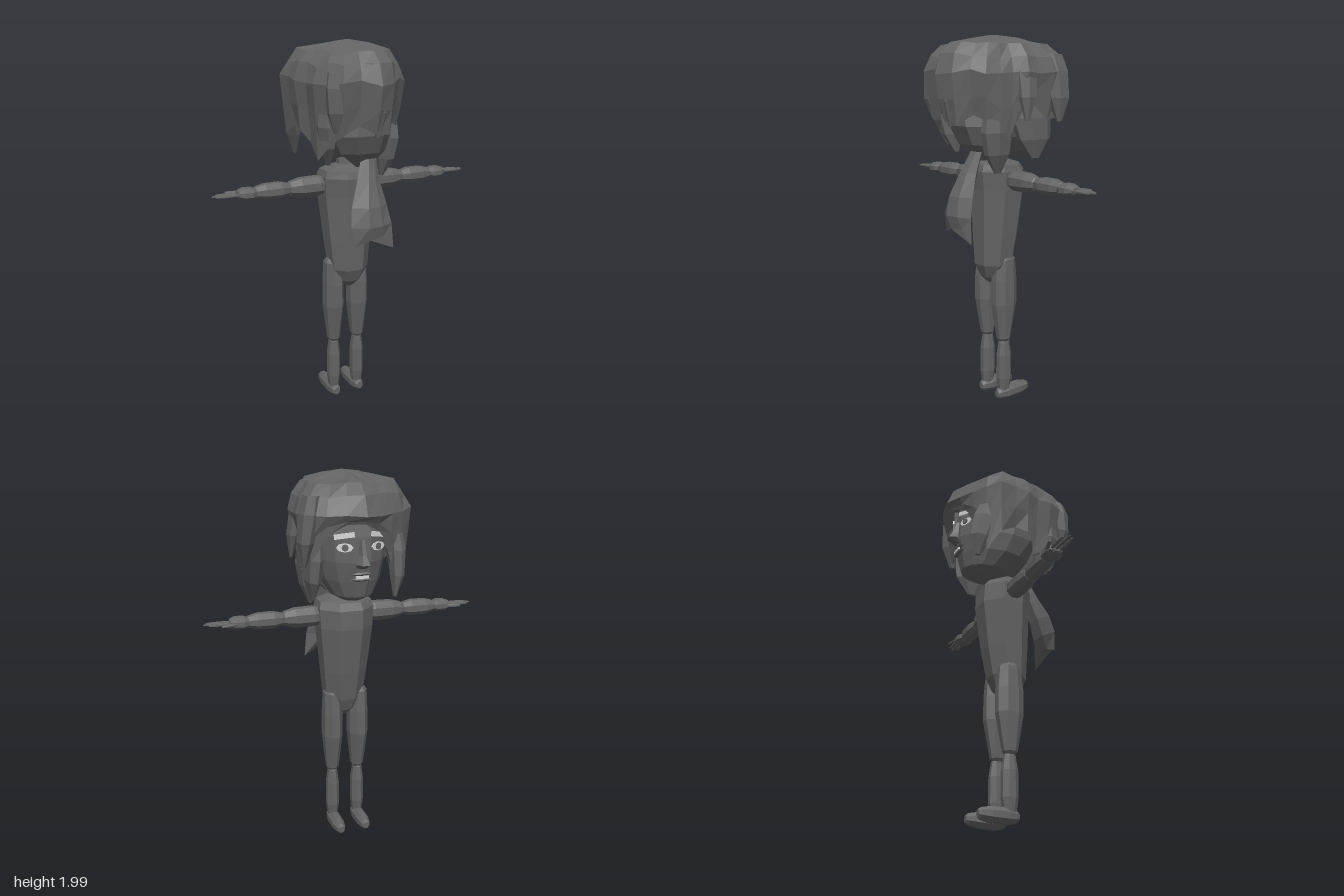
import * as THREE from 'three';

const charcoal = new THREE.MeshStandardMaterial({ color: 0x646464, flatShading: true, side: THREE.DoubleSide });
charcoal.name = 'charcoal';
const paleGrey = new THREE.MeshStandardMaterial({ color: 0xd8d8d8, flatShading: true, side: THREE.DoubleSide });
paleGrey.name = 'paleGrey';

// Skin a list of equal-length rings of [x, y, z] points, with optional end caps
function skin(rings, capStart = true, capEnd = true) {
  const n = rings[0].length, pos = rings.flat(2), idx = [];
  for (let r = 0; r < rings.length - 1; r++)
    for (let i = 0; i < n; i++) {
      const a = r * n + i, b = r * n + (i + 1) % n;
      idx.push(a, b, b + n, a, b + n, a + n);
    }
  const cap = (s, flip) => {
    for (let i = 1; i < n - 1; i++) flip ? idx.push(s, s + i + 1, s + i) : idx.push(s, s + i, s + i + 1);
  };
  if (capStart) cap(0, true);
  if (capEnd) cap((rings.length - 1) * n, false);
  const g = new THREE.BufferGeometry();
  g.setAttribute('position', new THREE.Float32BufferAttribute(pos, 3));
  g.setIndex(idx);
  g.computeVertexNormals();
  return g;
}

// Stack of horizontal ellipses [x, y, z, rx, rz], listed from bottom to top
function stack(sections, sides = 8) {
  return skin(sections.map(([x, y, z, rx, rz]) => Array.from({ length: sides }, (_, i) => {
    const a = ((i + 0.5) / sides) * Math.PI * 2;
    return [x + Math.sin(a) * rx, y, z + Math.cos(a) * rz];
  })));
}

// Lock of hair from a narrow tip to a wide root, bowed outward in the middle
function lockGeometry([tx, ty, tz], [rx, ry, rz], w, d) {
  return stack([[0, 0.2], [0.35, 0.8], [0.75, 1], [1, 0.85]].map(([t, k]) => {
    const bow = 1 + 0.16 * t * (1 - t);
    return [(tx + (rx - tx) * t) * bow, ty + (ry - ty) * t, (tz + (rz - tz) * t) * bow, w * k, d * k];
  }), 7);
}

function add(group, name, geometry, material = charcoal) {
  const m = new THREE.Mesh(geometry, material);
  m.name = name;
  group.add(m);
  return m;
}

// Faceted limb segment between two points; w is the radius across, d the other radius
function segment(group, name, from, to, w, d, sides = 8) {
  const a = new THREE.Vector3(...from), b = new THREE.Vector3(...to), len = a.distanceTo(b);
  const shape = [[0, 0], [0.5, 0], [0.75, 0.06], [1, 0.28], [0.97, 0.7], [0.7, 0.94], [0.45, 1], [0, 1]];
  const g = new THREE.LatheGeometry(shape.map(([r, t]) => new THREE.Vector2(r, t * len)), sides);
  g.rotateY(Math.PI / sides);
  g.scale(w, 1, d);
  const m = add(group, name, g);
  m.position.copy(a);
  m.quaternion.setFromUnitVectors(new THREE.Vector3(0, 1, 0), b.sub(a).normalize());
}

function createModel() {
  const model = new THREE.Group();
  model.name = 'figure';

  // Torso and neck
  add(model, 'torso', stack([
    [0, 0.68, 0, 0.02, 0.03], [0, 0.72, 0, 0.07, 0.075], [0, 0.79, 0, 0.11, 0.105], [0, 0.95, -0.012, 0.128, 0.125],
    [0, 1.2, -0.025, 0.154, 0.147], [0, 1.3, -0.018, 0.16, 0.15], [0, 1.337, -0.01, 0.148, 0.13], [0, 1.36, -0.02, 0.05, 0.05]]));
  add(model, 'neck', stack([[0, 1.33, -0.03, 0.045, 0.045], [0, 1.45, -0.05, 0.045, 0.05]]));

  // Arms and hands
  for (const [side, s] of [['left', 1], ['right', -1]]) {
    const arm = new THREE.Group();
    arm.name = side + 'Arm';
    model.add(arm);
    segment(arm, 'upperArm', [s * 0.1, 1.257, -0.02], [s * 0.34, 1.255, -0.02], 0.055, 0.055);
    segment(arm, 'forearm', [s * 0.325, 1.255, -0.02], [s * 0.525, 1.255, -0.02], 0.045, 0.049);
    segment(arm, 'palm', [s * 0.51, 1.255, -0.02], [s * 0.61, 1.257, -0.02], 0.033, 0.054);
    for (const [z, end] of [[-0.045, 0.715], [-0.021, 0.74], [0.003, 0.725]])
      segment(arm, 'finger', [s * 0.59, 1.257, z], [s * end, 1.257, z], 0.007, 0.01, 6);
    segment(arm, 'thumb', [s * 0.575, 1.257, -0.06], [s * 0.655, 1.257, -0.082], 0.008, 0.01, 6);
  }

  // Legs and feet
  for (const [side, x] of [['left', 0.066], ['right', -0.08]]) {
    const leg = new THREE.Group();
    leg.name = side + 'Leg';
    model.add(leg);
    segment(leg, 'shin', [x, 0.05, -0.02], [x, 0.37, -0.02], 0.037, 0.046);
    add(leg, 'thigh', stack([[x, 0.345, -0.018, 0.018, 0.02], [x, 0.37, -0.018, 0.036, 0.04], [x, 0.57, -0.02, 0.056, 0.077],
      [x, 0.7, -0.02, 0.055, 0.077], [x, 0.82, -0.022, 0.05, 0.064], [x, 0.842, -0.022, 0.035, 0.038]]));
    segment(leg, 'foot', [x, 0.048, 0.027], [x, 0.052, -0.188], 0.037, 0.043);
  }

  // Head with a tapered jaw
  const head = new THREE.Group();
  head.name = 'head';
  model.add(head);
  add(head, 'skull', stack([[0, 1.37, -0.13, 0.06, 0.08], [0, 1.4, -0.13, 0.11, 0.14], [0, 1.48, -0.08, 0.16, 0.21],
    [0, 1.58, -0.045, 0.19, 0.265], [0, 1.7, -0.03, 0.2, 0.275], [0, 1.82, -0.02, 0.2, 0.26], [0, 1.93, -0.02, 0.12, 0.15]], 14));

  // Face: nose, lips, eyes and brows, all facing -z
  add(head, 'nose', stack([[0, 1.555, -0.3, 0.03, 0.03], [0, 1.575, -0.318, 0.037, 0.047],
    [0, 1.62, -0.305, 0.02, 0.035], [0, 1.69, -0.29, 0.015, 0.025]], 6));
  for (const y of [1.495, 1.523]) {
    const lip = add(head, 'lip', new THREE.SphereGeometry(1, 8, 4));
    lip.scale.set(0.055, 0.011, 0.022);
    lip.position.set(0, y, -0.287);
  }
  add(head, 'teeth', new THREE.BoxGeometry(0.065, 0.014, 0.009), paleGrey).position.set(0, 1.509, -0.303);
  for (const s of [1, -1]) {
    const eye = add(head, 'eye', new THREE.CylinderGeometry(1, 1, 0.006, 8).rotateX(Math.PI / 2), paleGrey);
    eye.scale.set(0.042, 0.022, 1);
    const iris = add(head, 'iris', new THREE.CylinderGeometry(0.017, 0.017, 0.006, 8).rotateX(Math.PI / 2));
    const brow = add(head, 'brow', new THREE.BoxGeometry(0.1, 0.024, 0.009), paleGrey);
    eye.position.set(s * 0.085, 1.655, -0.288);
    iris.position.set(s * 0.085, 1.655, -0.293);
    brow.position.set(s * 0.088, 1.712, -0.29);
    eye.rotation.y = iris.rotation.y = s * -0.42;
    brow.rotation.set(0, s * -0.45, s * -0.15);
  }

  // Hair cap: outline radius and hem height every 15 degrees, starting at +z and turning to +x
  const radius = [0.36, 0.34, 0.3, 0.3, 0.265, 0.25, 0.29, 0.29, 0.33, 0.37, 0.37, 0.37,
    0.365, 0.34, 0.325, 0.335, 0.345, 0.31, 0.305, 0.28, 0.3, 0.325, 0.365, 0.325];
  const hem = [1.56, 1.55, 1.6, 1.57, 1.45, 1.5, 1.64, 1.64, 1.57, 1.58, 1.72, 1.77,
    1.77, 1.73, 1.62, 1.42, 1.52, 1.58, 1.56, 1.5, 1.42, 1.5, 1.56, 1.6];
  let seed = 7;
  const rnd = () => (seed = (seed * 16807) % 2147483647) / 2147483647 - 0.5;
  const ring = (fn) => radius.map((r, i) => {
    const a = (i / 24) * Math.PI * 2, [k, y] = fn(i);
    return [Math.sin(a) * r * k, y, Math.cos(a) * r * k];
  });
  const lower = (t) => (i) => [1 - t * (i > 8 && i < 17 ? 0.08 : 0.12) + rnd() * 0.05, 1.8 + (hem[i] - 1.8) * t];
  const upper = (k, y, bump) => () => [k + rnd() * 0.05, y + rnd() * bump];
  add(head, 'hairCap', skin([
    ring((i) => [0.82, hem[i] + 0.06]), ring(lower(1)), ring(lower(0.5)),
    ring(upper(1, 1.81, 0.03)), ring(upper(0.91, 1.89, 0.03)), ring(upper(0.74, 1.95, 0.015)),
    ring(upper(0.4, 1.975, 0.015)), ring(() => [0.08, 1.995])], false, true));

  // Loose locks around the head
  const lock = (...shape) => add(head, 'hairLock', lockGeometry(...shape));
  lock([0.27, 1.56, -0.22], [0.22, 1.9, -0.2], 0.05, 0.09);
  lock([0.275, 1.57, 0], [0.22, 1.9, -0.03], 0.04, 0.07);
  lock([-0.19, 1.39, -0.26], [-0.21, 1.7, -0.19], 0.04, 0.08);
  lock([0.02, 1.54, 0.29], [0, 1.9, 0.28], 0.065, 0.05);
  lock([0.15, 1.3, 0.09], [0.17, 1.58, 0.11], 0.05, 0.1);
  lock([0.2, 1.37, -0.12], [0.18, 1.65, -0.08], 0.045, 0.14);
  lock([-0.17, 1.39, 0.12], [-0.2, 1.66, 0.15], 0.05, 0.08);
  lock([-0.19, 1.57, 0.25], [-0.18, 1.86, 0.23], 0.05, 0.06);
  lock([0.03, 1.36, 0.1], [0, 1.6, 0.16], 0.17, 0.1);

  // Tail of hair hanging behind the back, ending in a notched hem: rows of [y, x0, x1, zIn, zOut]
  const tail = [[1.0, -0.085, 0.14, 0.23, 0.275], [1.08, -0.105, 0.13, 0.2, 0.292], [1.18, -0.09, 0.112, 0.17, 0.275],
    [1.3, -0.04, 0.09, 0.14, 0.225], [1.41, 0, 0.09, 0.12, 0.175]];
  add(model, 'hairTail', skin(tail.map(([y, x0, x1, zIn, zOut], row) => {
    const w = x1 - x0, mid = (zIn + zOut) / 2, end = row === 0 ? 1 : 0;
    return [[x0, y - end * 0.02, mid], [x0 + w * 0.3, y + end * 0.01, zIn + 0.01], [x0 + w * 0.65, y + end * 0.02, zIn],
      [x1, y - end * 0.055, mid], [x0 + w * 0.7, y + end * 0.02, zOut - 0.01], [x0 + w * 0.35, y + end * 0.01, zOut]].reverse();
  })));

  return model;
}

export { createModel };
